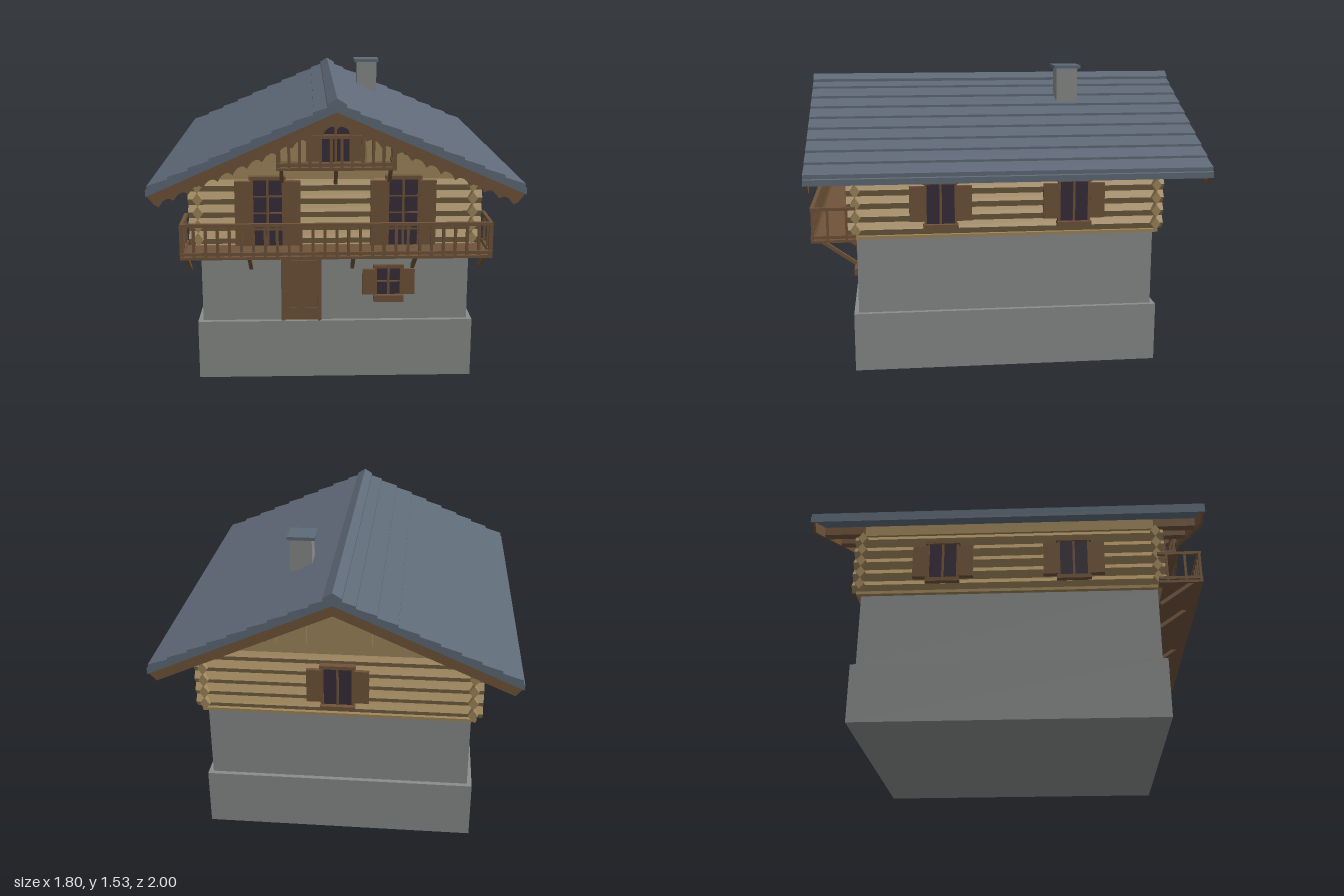
import * as THREE from 'three';

const mat = (name, color, extra) => {
  const m = new THREE.MeshStandardMaterial({ color, ...extra });
  m.name = name;
  return m;
};

export function createModel() {
  const stone = mat('stone', 0x8a8d8b);
  const slate = mat('slate', 0x5f6a78);
  const timber = mat('pale timber', 0xa0875c);
  const wood = mat('brown wood', 0x70543a);
  const glass = mat('dark glass', 0x382e3a);

  const model = new THREE.Group();
  model.name = 'chalet';

  const group = (name, parent = model) => {
    const g = new THREE.Group();
    g.name = name;
    parent.add(g);
    return g;
  };
  const add = (parent, name, geo, m) => {
    const mesh = new THREE.Mesh(geo, m);
    mesh.name = name;
    parent.add(mesh);
    return mesh;
  };
  // Box given by its limits on each axis
  const box = (parent, name, m, x0, x1, y0, y1, z0, z1) => {
    const mesh = add(parent, name, new THREE.BoxGeometry(x1 - x0, y1 - y0, z1 - z0), m);
    mesh.position.set((x0 + x1) / 2, (y0 + y1) / 2, (z0 + z1) / 2);
    return mesh;
  };
  // Outline in x and y, extruded from z0 to z1
  const slab = (parent, name, m, pts, z0, z1) => {
    const shape = new THREE.Shape(pts.map(([x, y]) => new THREE.Vector2(x, y)));
    const geo = new THREE.ExtrudeGeometry(shape, { depth: z1 - z0, bevelEnabled: false });
    geo.translate(0, 0, z0);
    return add(parent, name, geo, m);
  };
  // Square bar between two points
  const bar = (parent, name, m, a, b, t) => {
    const A = new THREE.Vector3(...a), B = new THREE.Vector3(...b);
    const mesh = add(parent, name, new THREE.BoxGeometry(t, t, A.distanceTo(B)), m);
    mesh.position.copy(A).add(B).multiplyScalar(0.5);
    mesh.lookAt(B);
    return mesh;
  };

  // Stone base
  box(model, 'plinth', stone, -0.7, 0.7, 0, 0.305, -0.787, 0.787);
  box(model, 'groundFloor', stone, -0.675, 0.675, 0.305, 0.7, -0.763, 0.763);

  // Log storey: diamond logs that cross at the corners
  const logs = group('logStorey');
  box(logs, 'logCore', timber, -0.68, 0.68, 0.7, 1.05, -0.765, 0.765);
  box(logs, 'sillBeam', timber, -0.7, 0.7, 0.697, 0.713, -0.785, 0.785);
  const pitch = 0.0676, h = pitch / 2, d = 0.025;
  const diamond = [[-d, 0], [0, -h], [d, 0], [0, h]];
  for (let i = 0; i < 5; i++) {
    const y = 0.713 + pitch * (i + 0.5);
    for (const s of [-1, 1]) {
      slab(logs, 'sideLog', timber, diamond, -0.81, 0.81).position.set(s * 0.68, y, 0);
      const log = slab(logs, 'gableLog', timber, diamond, -0.73, 0.73);
      log.rotation.y = Math.PI / 2;
      log.position.set(0, y, s * 0.765);
    }
  }

  // Gable walls with battens
  const slope = 0.44;
  const under = (x) => 1.41 - slope * Math.abs(x);
  const gable = group('gable');
  slab(gable, 'gableWall', timber,
    [[-0.7, 1.045], [0.7, 1.045], [0.7, under(0.7)], [0, under(0)], [-0.7, under(0.7)]], -0.775, 0.775);
  for (const s of [-1, 1])
    for (let i = -3; i <= 3; i++) {
      if (i === 0) continue;
      const x = i * 0.148 + Math.sign(i) * 0.015;
      const z = s * 0.78;
      box(gable, 'batten', timber, x - 0.01, x + 0.01, 1.1, under(x) - 0.004, z - 0.012, z + 0.012);
    }

  // Roof: base slab, overlapping slate courses and ridge cap
  const roof = group('roof');
  const top = (x) => 1.44 - slope * Math.abs(x);
  slab(roof, 'roofSlab', slate,
    [[-0.9, under(0.9)], [0, under(0)], [0.9, under(0.9)], [0.9, top(0.9)], [0, top(0)], [-0.9, top(0.9)]], -1, 1);
  for (const s of [-1, 1])
    for (let i = 0; i < 9; i++) {
      const a = i * 0.098, b = a + 0.108;
      const pts = [[s * a, top(a) - 0.002], [s * b, top(b) - 0.002],
        [s * b, top(b) + 0.02], [s * a, top(a) + 0.007]];
      slab(roof, 'slateCourse', slate, pts, -1, 1);
    }
  slab(roof, 'ridgeCap', slate,
    [[-0.045, 1.43], [0.045, 1.43], [0.045, 1.447], [0, 1.475], [-0.045, 1.447]], -1, 1);

  // Barge boards, scalloped at the front and plain at the back
  const drop = (x, scallop) => {
    const u = (Math.abs(x) / 0.07) % 1;
    const drip = scallop ? 0.026 * Math.pow(Math.abs(2 * u - 1), 2.5) : 0;
    return under(x) - 0.056 - drip;
  };
  const barge = (name, scallop, z0, z1) => {
    const pts = [[0.895, under(0.895)], [0, under(0)], [-0.895, under(0.895)]];
    const n = 200;
    for (let i = 0; i <= n; i++) {
      const x = -0.86 + (1.72 * i) / n;
      pts.push([x, drop(x, scallop)]);
    }
    slab(roof, name, wood, pts, z0, z1);
  };
  barge('frontBargeBoard', true, 0.977, 0.99);
  barge('backBargeBoard', false, -0.99, -0.977);

  // Purlins carrying the overhang
  for (const x of [0, -0.34, 0.34, -0.68, 0.68])
    for (const s of [-1, 1])
      box(roof, 'purlin', wood, x - 0.022, x + 0.022, under(x) - 0.055, under(x) - 0.008,
        s > 0 ? 0.76 : -0.978, s > 0 ? 0.978 : -0.76);

  // Chimney
  const chimney = group('chimney');
  box(chimney, 'chimneyStack', stone, 0.165, 0.28, 1.3, 1.515, -0.43, -0.317);
  box(chimney, 'chimneyCap', slate, 0.147, 0.292, 1.513, 1.53, -0.445, -0.302);

  // Window with frame, glazing bars, header, sill and shutters; z = 0 is the wall face
  const makeWindow = (name, w, y0, y1, sw, sy0, sy1, rows, sill) => {
    const g = group(name);
    const r = w / 2, f = 0.012;
    box(g, 'pane', glass, -r, r, y0, y1, -0.03, 0.006);
    for (const x of [-r + f / 2, 0, r - f / 2])
      box(g, 'upright', wood, x - f / 2, x + f / 2, y0, y1, 0, 0.012);
    for (let i = 1; i <= rows; i++) {
      const y = y0 + ((y1 - y0) * i) / (rows + 1);
      box(g, 'glazingBar', wood, -r, r, y - 0.004, y + 0.004, 0, 0.01);
    }
    box(g, 'header', wood, -r - 0.008, r + 0.008, y1, y1 + 0.018, -0.03, 0.02);
    if (sill) box(g, 'sill', wood, -r - 0.006, r + 0.006, y0 - sill, y0, -0.03, 0.032);
    for (const s of [-1, 1]) {
      const x = s * (r + sw / 2);
      box(g, 'shutter', wood, x - sw / 2, x + sw / 2, sy0, sy1, -0.03, 0.014);
    }
    return g;
  };
  for (const s of [-1, 1]) {
    for (const z of [-0.34, 0.34]) {
      const g = makeWindow('sideWindow', 0.165, 0.77, 0.975, 0.075, 0.785, 0.965, 0, 0.022);
      g.position.set(s * 0.7, 0, z);
      g.rotation.y = (s * Math.PI) / 2;
    }
    makeWindow('balconyDoor', 0.165, 0.71, 1.047, 0.08, 0.712, 1.04, 3, 0)
      .position.set(s * 0.336, 0, 0.788);
  }
  const back = makeWindow('backWindow', 0.165, 0.77, 0.975, 0.075, 0.785, 0.965, 0, 0.022);
  back.position.set(0, 0, -0.786);
  back.rotation.y = Math.PI;
  makeWindow('groundWindow', 0.14, 0.44, 0.58, 0.063, 0.44, 0.575, 1, 0.035).position.set(0.27, 0, 0.763);

  // Arched attic window
  const attic = group('atticWindow');
  const arch = (r, y0, y1) => {
    const pts = [[-r, y0], [r, y0]];
    for (let i = 0; i <= 12; i++) {
      const a = (i / 12) * Math.PI;
      pts.push([r * Math.cos(a), y1 + r * Math.sin(a)]);
    }
    return pts;
  };
  slab(attic, 'archFrame', wood, arch(0.083, 1.135, 1.268), 0.77, 0.785);
  slab(attic, 'archPane', glass, arch(0.068, 1.135, 1.268), 0.78, 0.79);
  box(attic, 'archUpright', wood, -0.006, 0.006, 1.135, 1.335, 0.785, 0.796);
  box(attic, 'archCrossbar', wood, -0.068, 0.068, 1.262, 1.272, 0.785, 0.796);
  for (const s of [-1, 1])
    box(attic, 'atticShutter', wood, s * 0.113 - 0.032, s * 0.113 + 0.032, 1.138, 1.285, 0.77, 0.793);

  // Front door with frame and diagonal ledge
  const door = group('frontDoor');
  box(door, 'doorLeaf', wood, -0.255, -0.09, 0.305, 0.665, 0.75, 0.77);
  for (const x of [-0.265, -0.08])
    box(door, 'doorPost', wood, x - 0.01, x + 0.01, 0.305, 0.685, 0.75, 0.782);
  box(door, 'doorLintel', wood, -0.275, -0.07, 0.665, 0.688, 0.75, 0.782);
  for (const y of [0.36, 0.61]) box(door, 'doorLedge', wood, -0.25, -0.095, y - 0.012, y + 0.012, 0.765, 0.776);
  bar(door, 'doorDiagonal', wood, [-0.24, 0.37, 0.768], [-0.105, 0.6, 0.768], 0.014);

  // Balcony: deck, rails on three sides, balusters and wall braces
  const balcony = (name, r, y, hgt, z0, z1, n, braces, braceDrop) => {
    const g = group(name);
    const t = 0.008, rails = [y + 0.028, y + hgt - 0.008];
    box(g, 'deck', wood, -r, r, y, y + 0.014, z0, z1);
    for (const ry of rails) {
      box(g, 'frontRail', wood, -r, r, ry - t, ry + t, z1 - 0.018, z1);
      for (const s of [-1, 1])
        box(g, 'sideRail', wood, s * (r - t) - t, s * (r - t) + t, ry - t, ry + t, z0, z1);
    }
    for (let i = 0; i <= n; i++) {
      const x = (r - t) * ((2 * i) / n - 1), w = i % n ? 0.007 : 0.01;
      box(g, 'baluster', wood, x - w, x + w, y, y + hgt - 0.01, z1 - 0.016, z1 - 0.003);
    }
    for (const s of [-1, 1])
      for (const k of [0.38, 0.8]) {
        const z = z1 - (z1 - z0) * k, x = s * (r - t);
        box(g, 'sideBaluster', wood, x - 0.006, x + 0.006, y, y + hgt - 0.01, z - 0.006, z + 0.006);
      }
    for (const x of braces)
      bar(g, 'brace', wood, [x, y - braceDrop, 0.765], [x, y + 0.004, z1 - 0.055], 0.018);
  };
  balcony('mainBalcony', 0.75, 0.697, 0.178, 0.765, 0.985, 26, [-0.73, -0.425, 0.085, 0.39, 0.73], 0.112);
  balcony('upperBalcony', 0.285, 1.12, 0.17, 0.765, 0.93, 11, [-0.265, 0, 0.265], 0.11);

  return model;
}
